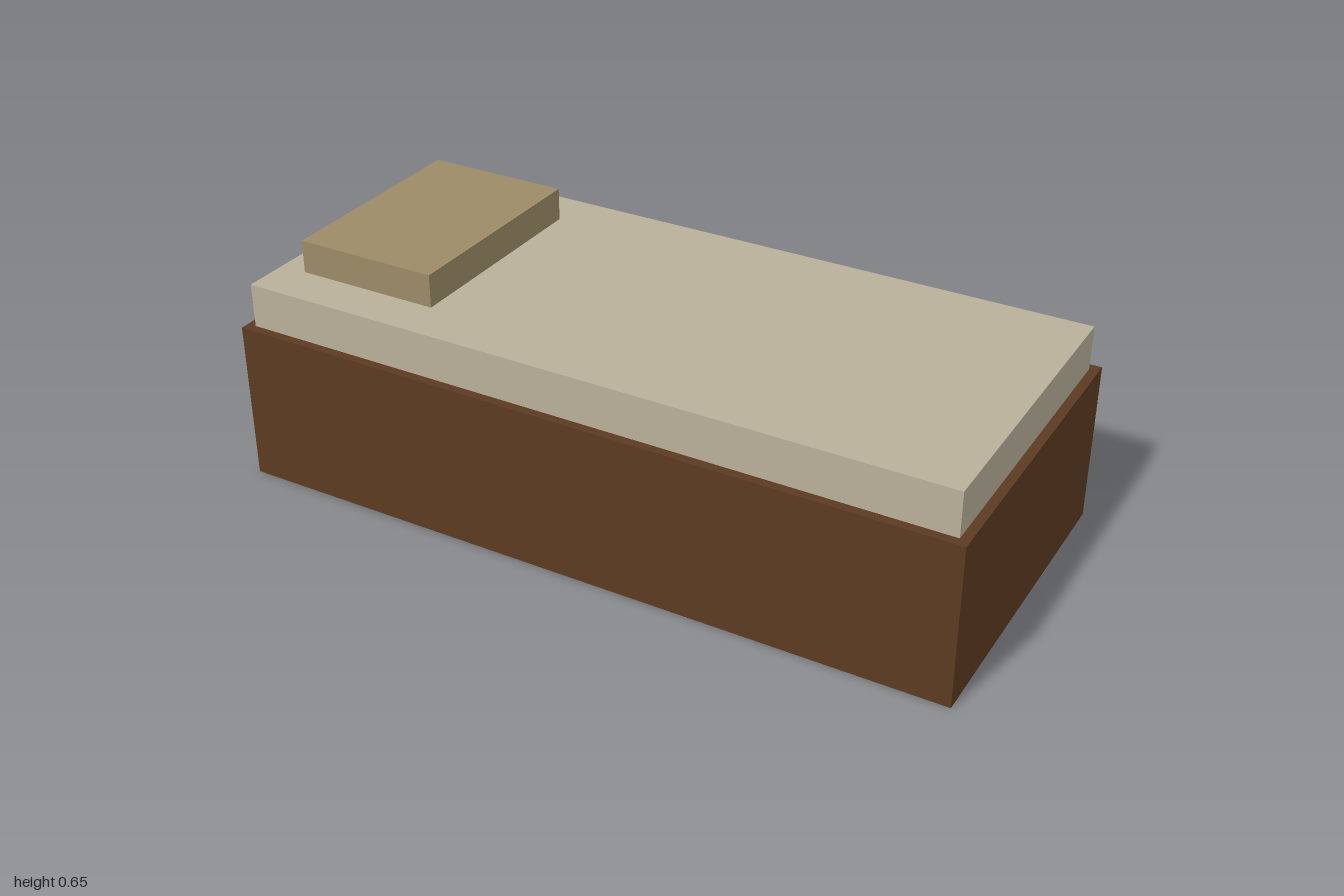
import * as THREE from 'three';

const wood = new THREE.MeshStandardMaterial({ name: 'brown wood', color: 0x5c3a21, side: THREE.DoubleSide });
const linen = new THREE.MeshStandardMaterial({ name: 'pale linen', color: 0xb9b09a });
const cushion = new THREE.MeshStandardMaterial({ name: 'tan cushion', color: 0x9c8a66 });

// Box from y0 to y1, open at the bottom
function openBox(name, material, width, depth, y0, y1, x = 0) {
  const geometry = new THREE.BoxGeometry(width, y1 - y0, depth);
  const bottom = geometry.groups[3];
  const index = Array.from(geometry.index.array);
  index.splice(bottom.start, bottom.count);
  geometry.setIndex(index);
  geometry.clearGroups();
  const mesh = new THREE.Mesh(geometry, material);
  mesh.name = name;
  mesh.position.set(x, (y0 + y1) / 2, 0);
  return mesh;
}

export function createModel() {
  const bed = new THREE.Group();
  bed.name = 'bed';
  bed.add(
    // Hollow wooden base, seen from inside when viewed from below
    openBox('base', wood, 2, 0.9, 0, 0.44),
    // Mattress inset from the rim of the base
    openBox('mattress', linen, 1.95, 0.85, 0.44, 0.56),
    // Pillow at the right end
    openBox('pillow', cushion, 0.4, 0.6, 0.56, 0.65, -0.7),
  );
  return bed;
}
